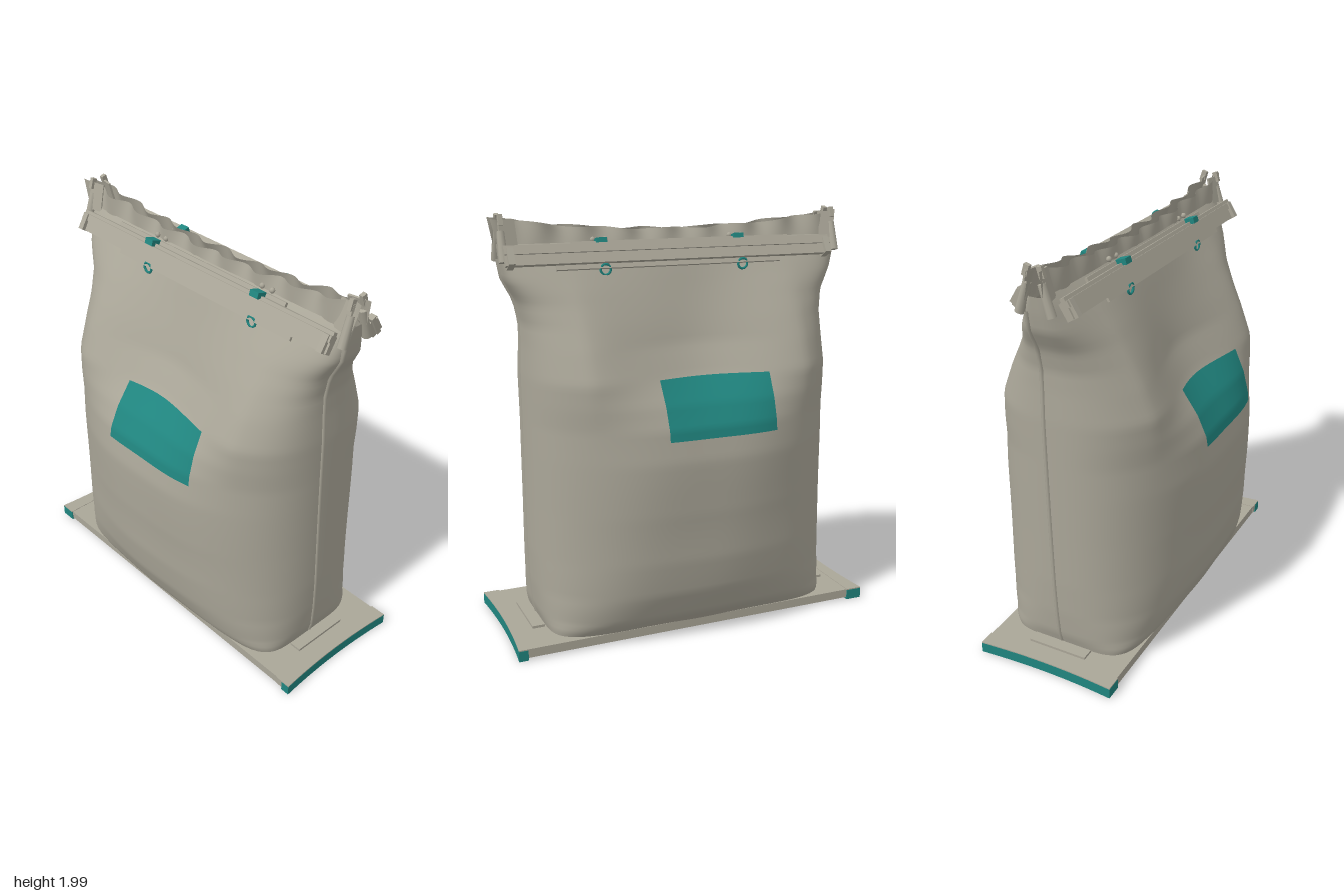
import * as THREE from 'three';
import { mergeVertices } from 'three/addons/utils/BufferGeometryUtils.js';

// Rows: height, half width, half depth, squareness, sag of the broad panel
const PROFILE = [
  [0.05, 0.34, 0.72, 6, 0], [0.12, 0.405, 0.74, 3.6, 0], [0.25, 0.455, 0.75, 2.8, 0],
  [0.42, 0.485, 0.755, 2.5, 0], [0.65, 0.5, 0.755, 2.4, 0], [0.9, 0.5, 0.755, 2.4, 0],
  [1.05, 0.495, 0.755, 2.4, 0.02], [1.15, 0.49, 0.755, 2.5, 0.07], [1.26, 0.475, 0.755, 2.6, 0.15],
  [1.4, 0.4, 0.75, 2.7, 0.16], [1.5, 0.335, 0.75, 2.8, 0.13], [1.6, 0.26, 0.77, 3, 0.09],
  [1.7, 0.18, 0.825, 3.5, 0.045], [1.78, 0.12, 0.84, 4, 0.015], [1.86, 0.05, 0.85, 6, 0],
];

function sectionAt(y) {
  let i = 0;
  while (i < PROFILE.length - 2 && y > PROFILE[i + 1][0]) i++;
  const p = PROFILE[i], q = PROFILE[i + 1];
  const t = THREE.MathUtils.clamp((y - p[0]) / (q[0] - p[0]), 0, 1);
  return p.map((v, k) => THREE.MathUtils.lerp(v, q[k], t));
}

// Inward sag and soft creases of the broad panels
function panelDent(y, z, sag) {
  const bump = Math.max(0, 1 - (z / 0.55) ** 2) ** 1.4;
  const fade = Math.max(0, 1 - (z / 0.75) ** 2);
  return sag * bump - 0.006 * fade * Math.sin(7 * y + 6 * z) * Math.sin(4 * y - 5 * z);
}

function panelX(y, z) {
  const [, a, b, n, sag] = sectionAt(y);
  return a * Math.pow(1 - Math.abs(z / b) ** n, 1 / n) - panelDent(y, z, sag);
}

// Smooth sheet: f(u, v) gives each point, u and v from 0 to 1
function sheet(nu, nv, f) {
  let g = new THREE.PlaneGeometry(1, 1, nu, nv);
  const p = g.attributes.position;
  for (let i = 0; i < p.count; i++) p.setXYZ(i, ...f(p.getX(i) + 0.5, p.getY(i) + 0.5));
  g.deleteAttribute('uv');
  g.deleteAttribute('normal');
  g = mergeVertices(g, 1e-5);
  g.computeVertexNormals();
  return g;
}

export function createModel() {
  const model = new THREE.Group();
  model.name = 'sack';
  const cloth = new THREE.MeshStandardMaterial({ color: 0xaaa698, side: THREE.DoubleSide });
  cloth.name = 'warm grey cloth';
  const teal = new THREE.MeshStandardMaterial({ color: 0x20857f, side: THREE.DoubleSide });
  teal.name = 'teal';

  const add = (name, geometry, material, x = 0, y = 0, z = 0, rz = 0, ry = 0) => {
    const m = new THREE.Mesh(geometry, material);
    m.name = name;
    m.position.set(x, y, z);
    m.rotation.set(0, ry, rz);
    model.add(m);
  };
  const box = (w, h, d) => new THREE.BoxGeometry(w, h, d);

  // Filled body
  add('body', sheet(140, 80, (u, v) => {
    const y = 0.05 + 1.81 * v, [, a, b, n, sag] = sectionAt(y);
    const t = (u % 1) * Math.PI * 2, c = Math.cos(t), s = Math.sin(t);
    const r = 1 / Math.pow(Math.abs(c) ** n + Math.abs(s) ** n, 1 / n);
    const z = -b * s * r;
    const x = a * c * r;
    // the dent fades out across the narrow ends
    const side = THREE.MathUtils.clamp(x / (0.3 * a), -1, 1);
    return [x - side * panelDent(y, z, sag), y, z];
  }), cloth);

  for (const s of [1, -1]) {
    // Folded seam up the middle of the end
    add('endSeam', sheet(4, 40, (u, v) => {
      const y = 0.07 + 1.72 * v, out = [-0.02, 0.002, 0.008, 0.002, -0.02][Math.round(u * 4)];
      const lean = -0.012 - 0.035 * Math.sin(Math.PI * 0.5 * v);
      return [s * ((u - 0.5) * 0.035 + lean), y, s * (sectionAt(y)[2] + out)];
    }), cloth);

    // Label
    const mid = s > 0 ? -0.055 : 0.07;
    add('label', sheet(24, 16, (u, v) => {
      const y = 1.0 + 0.26 * v, z = mid - s * (u - 0.5) * 0.545;
      return [s * (panelX(y, z) + 0.008), y, z];
    }), teal);
  }

  // Base plate, and end flaps with a coloured edge
  add('basePlate', box(0.69, 0.035, 1.68), cloth, 0, 0.04, 0);
  const flapSlab = (inner, depth) => {
    const flap = new THREE.Shape();
    flap.moveTo(-0.35, inner);
    flap.lineTo(0.35, inner);
    flap.lineTo(0.35, 0.91);
    flap.quadraticCurveTo(0, 0.875, -0.35, 0.91);
    return new THREE.ExtrudeGeometry(flap, { depth, bevelEnabled: false, curveSegments: 12 }).rotateX(Math.PI / 2);
  };
  const fold = new THREE.Shape([[-0.34, 0.83], [0.34, 0.83], [0.12, 0.5], [-0.12, 0.5]]
    .map(([x, y]) => new THREE.Vector2(x, y)));
  const foldSlab = new THREE.ExtrudeGeometry(fold, { depth: 0.008, bevelEnabled: false }).rotateX(Math.PI / 2);
  for (const e of [1, -1]) {
    const ry = e > 0 ? 0 : Math.PI;
    add('flapEdge', flapSlab(e > 0 ? 0.865 : 0.83, 0.05), teal, 0, 0.054, 0, 0, ry);
    add('flapTop', flapSlab(0.83, 0.005), cloth, 0, 0.06, 0, 0, ry);
    add('bottomFold', foldSlab, cloth, 0, 0.0225, 0, 0, ry);
    add('flapTuck', box(0.3, 0.012, 0.06), cloth, 0, 0.064, e * 0.76);
  }
  add('frontFlapCore', box(0.695, 0.04, 0.04), cloth, 0, 0.036, 0.85);
  for (const s of [1, -1]) add('bottomHem', box(0.05, 0.008, 1.66), cloth, s * 0.32, 0.019, 0);

  // Two rippled sheets of the open mouth, higher at the ends
  for (const s of [1, -1]) {
    add('mouthSheet', sheet(110, 6, (u, v) => {
      const z = (u - 0.5) * 1.7 * (1 + 0.04 * v);
      const top = 1.91 + 0.065 * Math.abs(z / 0.87) ** 2 + 0.005 * Math.sin(19 * z + s);
      const wave = 0.018 * v * Math.sin(z * 31 + (s > 0 ? 0 : 0.7));
      return [s * (0.05 - 0.025 * v) + wave - 0.01 * v, 1.82 + (top - 1.82) * v, z];
    }), cloth);
  }

  // Crumpled ends of the mouth
  for (const e of [1, -1]) for (const s of [1, -1]) {
    add('crumpledEnd', box(0.01, 0.13, 0.08), cloth, s * 0.04, 1.905, e * 0.81, s * 0.25, s * e * 0.2);
    add('endRoll', new THREE.CylinderGeometry(0.018, 0.022, 0.14, 10), cloth, s * 0.055, 1.85, e * 0.84, s * 0.3);
    add('endTab', box(0.025, 0.05, 0.02), cloth, s * 0.035, 1.965, e * 0.84, s * 0.3);
  }

  // Closing rails with their clips
  for (const s of [1, -1]) {
    const mid = s > 0 ? 0.035 : 0.01;
    add('rail', box(0.022, 0.095, 1.63), cloth, s * 0.122, 1.815, mid, s * 0.5);
    add('railRidge', box(0.016, 0.03, 1.63), cloth, s * 0.124, 1.835, mid, s * 0.5);
    add('railUnderStrip', box(0.012, 0.03, 1.12), cloth, s * 0.135, 1.76, 0.06, s * 0.5);
    add('innerStrip', box(0.014, 0.03, 1.1), cloth, s * 0.08, 1.85, -0.02, s * 0.5);
    for (const e of [1, -1]) add('railEnd', box(0.06, 0.08, 0.03), cloth, s * 0.125, 1.805, e * 0.79 + mid, s * 0.55);
    for (const z of [0.39, -0.3]) {
      add('clip', box(0.05, 0.028, 0.05), teal, s * (s > 0 ? 0.072 : 0.106), 1.862, z, s * 0.3);
      add('clipRing', new THREE.TorusGeometry(0.024, 0.006, 6, 16), teal, s * 0.14, 1.742, z, 0, Math.PI / 2);
      for (const d of [0.03, -0.03])
        add('clipKnob', new THREE.SphereGeometry(0.013, 8, 6), cloth, s * 0.05, 1.87, z + d);
    }
  }
  return model;
}
